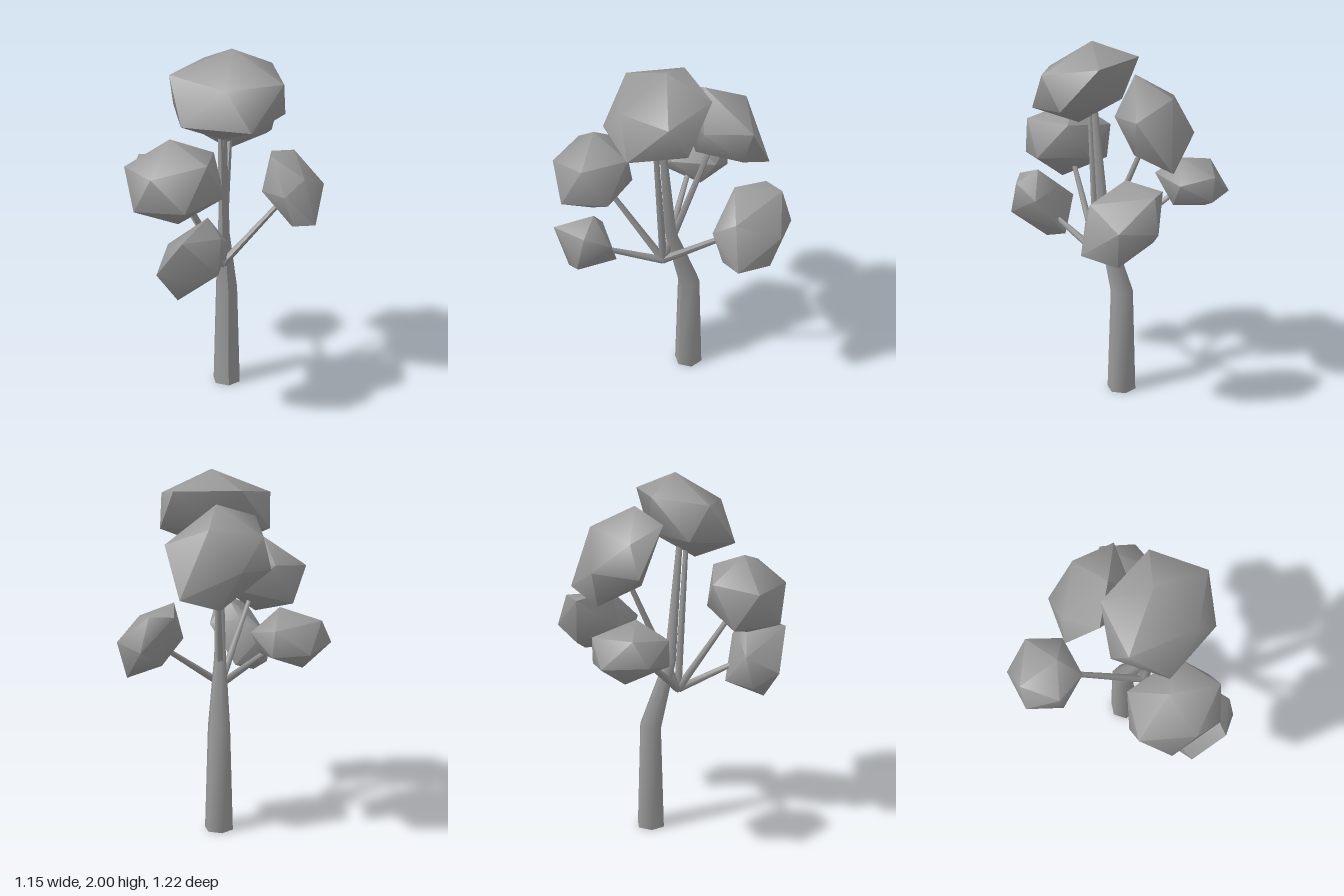
import * as THREE from 'three';
import { toCreasedNormals } from 'three/addons/utils/BufferGeometryUtils.js';
import { ConvexGeometry } from 'three/addons/geometries/ConvexGeometry.js';

const grey = new THREE.MeshStandardMaterial({ color: 0x999999 });
grey.name = 'plain grey';

// Tapered limb: a cylinder whose rings follow a path with one radius per point
function limb(name, path, radii, sides) {
  const pts = path.map((p) => new THREE.Vector3(...p));
  const n = pts.length - 1;
  const geo = new THREE.CylinderGeometry(1, 1, 1, sides, n);
  const pos = geo.attributes.position;
  const up = new THREE.Vector3(0, 1, 0);
  const turns = pts.map((p, i) => {
    const along = pts[Math.min(i + 1, n)].clone().sub(pts[Math.max(i - 1, 0)]).normalize();
    return new THREE.Quaternion().setFromUnitVectors(up, along);
  });
  const v = new THREE.Vector3();
  for (let k = 0; k < pos.count; k++) {
    const i = Math.round((pos.getY(k) + 0.5) * n);
    v.set(pos.getX(k) * radii[i], 0, pos.getZ(k) * radii[i]).applyQuaternion(turns[i]).add(pts[i]);
    pos.setXYZ(k, v.x, v.y, v.z);
  }
  geo.computeVertexNormals();
  const mesh = new THREE.Mesh(geo, grey);
  mesh.name = name;
  return mesh;
}

// Leaf clump: a stretched twenty-sided solid, given by six corners and their opposites
function clump(name, centre, corners) {
  const pts = corners.flatMap((c) => {
    const v = new THREE.Vector3(...c);
    return [v, v.clone().negate()];
  });
  const geo = toCreasedNormals(new ConvexGeometry(pts), 1.0);
  const mesh = new THREE.Mesh(geo, grey);
  mesh.position.set(...centre);
  mesh.name = name;
  return mesh;
}

export function createModel() {
  const tree = new THREE.Group();
  tree.name = 'tree';

  // Trunk, bending forward and thinning into the crown
  tree.add(limb('trunk',
    [[-0.003, 0, -0.075], [-0.003, 0.6, -0.075], [-0.035, 0.97, 0.035], [-0.045, 1.65, 0.09]],
    [0.082, 0.064, 0.034, 0.017], 6));

  // Branches fanning out from one fork
  const fork = [-0.05, 0.8, 0.08];
  const ends = {
    topBranch: [-0.065, 1.65, 0.12],
    backBranch: [0.035, 1.46, -0.2],
    leftSideBranch: [0.33, 1.09, -0.12],
    rightSideBranch: [-0.27, 1.25, 0.27],
    frontBranch: [-0.22, 0.96, 0.4],
    rearSideBranch: [-0.27, 1.13, -0.34],
  };
  for (const [name, end] of Object.entries(ends)) {
    tree.add(limb(name, [fork, end], [0.023, 0.014], 5));
  }

  // Leaf clumps
  tree.add(
    clump('topClump', [-0.03, 1.77, 0.135], [
      [-0.295, 0.10, -0.06], [0.03, 0.23, -0.045], [0.26, 0.125, -0.14],
      [-0.08, 0.135, -0.275], [-0.04, 0.07, 0.21], [0.265, 0.084, 0.165]]),
    clump('backClump', [0.045, 1.58, -0.26], [
      [-0.075, -0.05, -0.20], [0.235, -0.19, -0.14], [0.275, 0.07, 0.04],
      [0.015, -0.26, -0.11], [0.076, 0.16, -0.11], [-0.225, 0.11, -0.06]]),
    clump('rightSideClump', [-0.335, 1.37, 0.32], [
      [-0.025, 0.09, -0.245], [0.145, 0.14, 0.195], [-0.245, 0.06, -0.11],
      [0.215, 0.13, -0.06], [-0.135, 0.07, 0.16], [-0.015, 0.22, -0.03]]),
    clump('frontClump', [-0.26, 0.993, 0.455], [
      [0.08, 0.225, 0], [0.19, 0.07, -0.015], [-0.07, 0.15, 0.155],
      [0.11, -0.03, 0.155], [0.13, 0.15, 0.115], [0.03, 0.11, -0.10]]),
    clump('leftSideClump', [0.39, 1.135, -0.163], [
      [-0.13, 0.195, 0.01], [0.183, 0.005, -0.025], [0.04, 0.165, -0.18],
      [0.09, -0.015, -0.21], [-0.09, 0.16, -0.195], [0.03, 0.10, 0.16]]),
    clump('rearSideClump', [-0.31, 1.17, -0.407], [
      [0.045, 0.15, 0.065], [-0.04, -0.05, -0.204], [0.13, 0.07, -0.15],
      [-0.21, -0.03, -0.03], [-0.14, 0.07, 0.14], [-0.14, 0.10, -0.08]]),
  );
  return tree;
}
